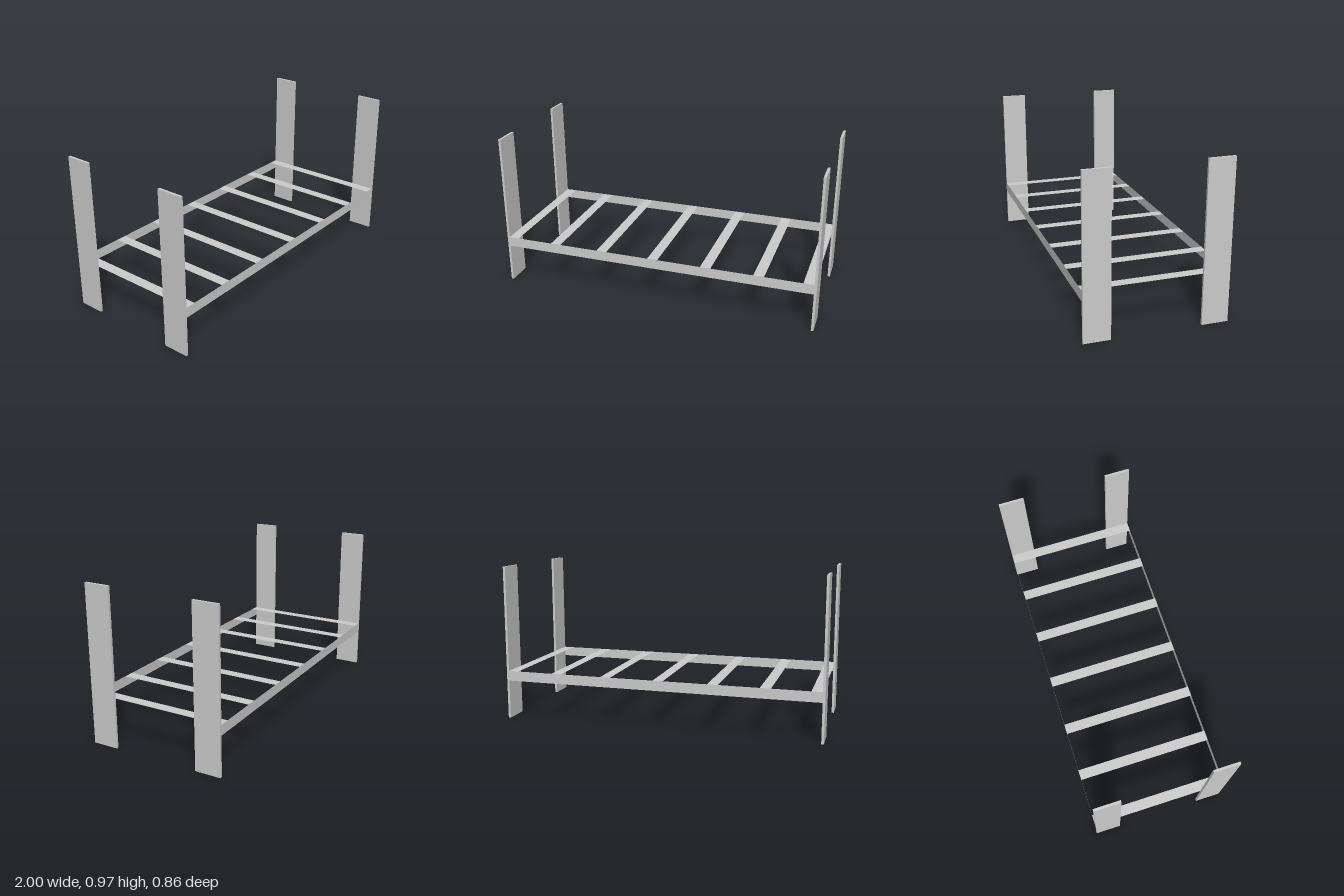
import * as THREE from 'three';

const HEIGHT = 0.97, HALF_DEPTH = 0.428;
const POST_WIDTH = 0.16, POST_THICK = 0.015;
const RAIL_TOP = 0.308, RAIL_HEIGHT = 0.063, SLAT_WIDTH = 0.065;

export function createModel() {
  const group = new THREE.Group();
  const grey = new THREE.MeshStandardMaterial({ color: 0xcccccc, side: THREE.DoubleSide });
  grey.name = 'light grey';

  const add = (name, geometry, x, y, z) => {
    const mesh = new THREE.Mesh(geometry, grey);
    mesh.name = name;
    mesh.position.set(x, y, z);
    group.add(mesh);
  };

  // Four flat corner posts
  const post = new THREE.BoxGeometry(POST_THICK, HEIGHT, POST_WIDTH);
  for (const sx of [-1, 1]) {
    for (const sz of [-1, 1]) {
      add((sz > 0 ? 'front' : 'back') + (sx > 0 ? 'Left' : 'Right') + 'Post', post,
        sx * (1 - POST_THICK / 2), HEIGHT / 2, sz * (HALF_DEPTH - POST_WIDTH / 2));
    }
  }

  // Long side rails, paper-thin, flush with the outer post edges
  const rail = new THREE.PlaneGeometry(2, RAIL_HEIGHT);
  add('frontRail', rail, 0, RAIL_TOP - RAIL_HEIGHT / 2, HALF_DEPTH);
  add('backRail', rail.clone().rotateY(Math.PI), 0, RAIL_TOP - RAIL_HEIGHT / 2, -HALF_DEPTH);

  // Thin cross slats level with the tops of the rails
  const slat = new THREE.PlaneGeometry(SLAT_WIDTH, 2 * HALF_DEPTH).rotateX(-Math.PI / 2);
  [-0.953, -0.657, -0.342, -0.005, 0.332, 0.658, 0.953].forEach((x, i) =>
    add('slat' + (i + 1), slat, x, RAIL_TOP, 0));

  return group;
}
